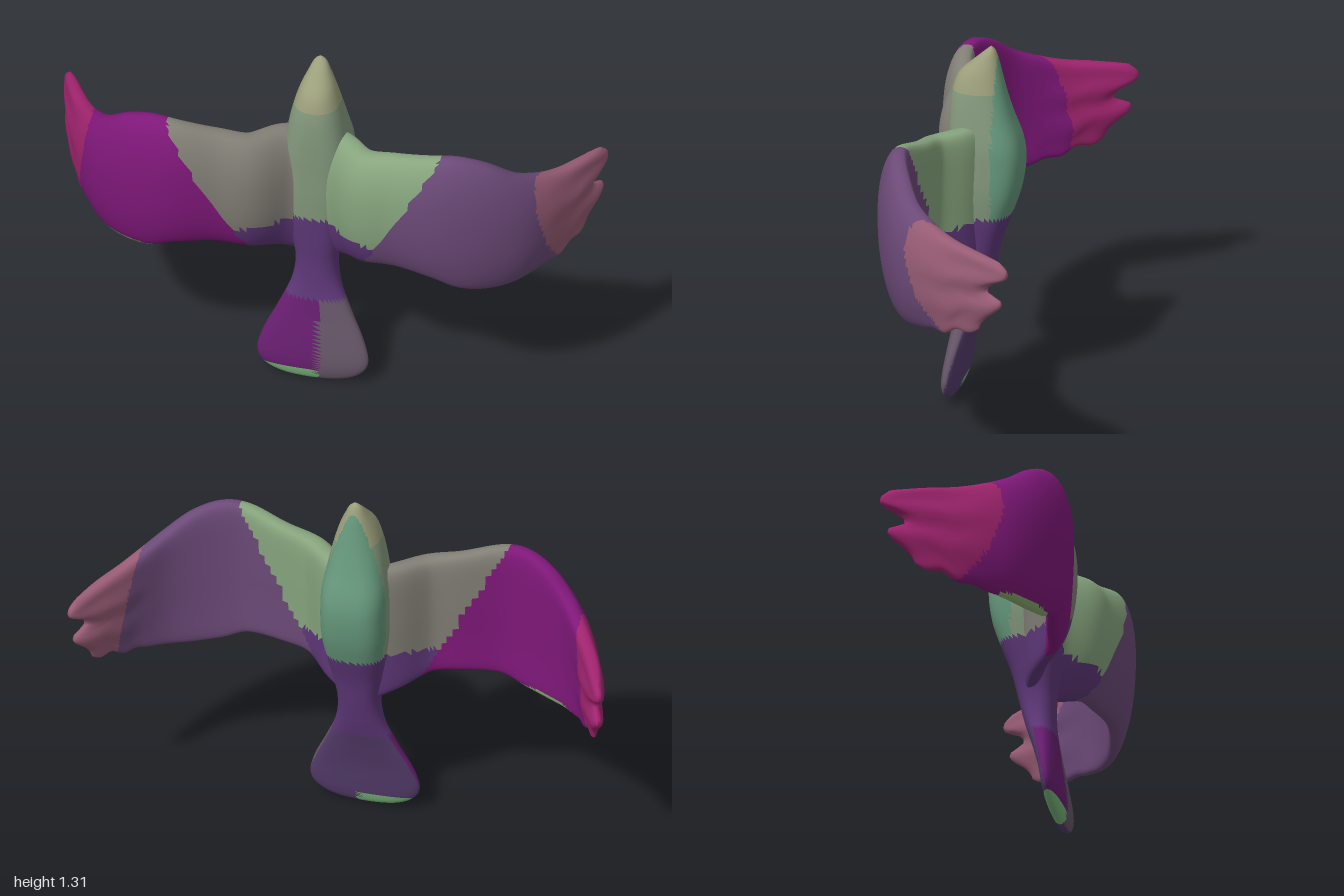
import * as THREE from 'three';

// Smooth interpolation of every column of a small table, t in 0..1
function sample(rows, t) {
  const f = Math.min(Math.max(t, 0), 1) * (rows.length - 1);
  const i = Math.min(Math.floor(f), rows.length - 2), k = f - i;
  const a = rows[Math.max(i - 1, 0)], b = rows[i], c = rows[i + 1], d = rows[Math.min(i + 2, rows.length - 1)];
  return b.map((p, n) => {
    const m0 = (c[n] - a[n]) / 2, m1 = (d[n] - p) / 2;
    const k2 = k * k, k3 = k2 * k;
    return (2 * k3 - 3 * k2 + 1) * p + (k3 - 2 * k2 + k) * m0 + (3 * k2 - 2 * k3) * c[n] + (k3 - k2) * m1;
  });
}

const signedPow = (v, e) => Math.sign(v) * Math.abs(v) ** e;

// Skin closed loops of points, then split the faces into named coloured patches
// that share one set of smooth normals
function skin(loops, flip, patches, pick) {
  const n = loops[0].length, pos = loops.flat(), index = [];
  for (let i = 0; i < loops.length - 1; i++) {
    for (let j = 0; j < n; j++) {
      const a = i * n + j, b = a + n, c = i * n + (j + 1) % n, d = c + n;
      index.push(...(flip ? [a, c, b, b, c, d] : [a, b, c, b, d, c]));
    }
  }
  const whole = new THREE.BufferGeometry().setFromPoints(pos);
  whole.setIndex(index);
  whole.computeVertexNormals();
  const faces = patches.map(() => []);
  for (let i = 0; i < index.length; i += 3) {
    const tri = index.slice(i, i + 3);
    const mid = new THREE.Vector3();
    tri.forEach(q => mid.addScaledVector(pos[q], 1 / 3));
    faces[pick(mid)].push(...tri);
  }
  const group = new THREE.Group();
  patches.forEach(([name, color], i) => {
    if (!faces[i].length) return;
    const geo = new THREE.BufferGeometry();
    geo.setAttribute('position', whole.attributes.position);
    geo.setAttribute('normal', whole.attributes.normal);
    geo.setIndex(faces[i]);
    const mesh = new THREE.Mesh(geo, new THREE.MeshStandardMaterial({ color }));
    mesh.name = name;
    group.add(mesh);
  });
  return group;
}

// Body, head and fanned tail: y, half width, front z, back z, roundness (1 = ellipse)
const BODY = [
  [1.308, 0, 0.004, 0.004, 1],
  [1.29, 0.022, 0.025, -0.012, 1],
  [1.25, 0.042, 0.07, -0.025, 0.95],
  [1.2, 0.064, 0.12, -0.036, 0.9],
  [1.13, 0.085, 0.143, -0.052, 0.85],
  [1.05, 0.102, 0.15, -0.075, 0.78],
  [0.96, 0.116, 0.15, -0.106, 0.7],
  [0.88, 0.118, 0.148, -0.115, 0.68],
  [0.78, 0.117, 0.146, -0.102, 0.68],
  [0.68, 0.106, 0.14, -0.07, 0.7],
  [0.58, 0.09, 0.13, -0.035, 0.75],
  [0.48, 0.075, 0.12, -0.012, 0.8],
  [0.38, 0.088, 0.119, 0.013, 0.85],
  [0.28, 0.13, 0.13, 0.045, 0.85],
  [0.18, 0.178, 0.145, 0.074, 0.85],
  [0.1, 0.2, 0.155, 0.09, 0.85],
  [0.05, 0.18, 0.154, 0.1, 0.85],
  [0.015, 0.115, 0.145, 0.112, 0.85],
  [0, 0, 0.13, 0.13, 0.85],
];

function makeBody() {
  const loops = [], sides = 40, steps = 100;
  for (let i = 0; i <= steps; i++) {
    const [y, w, zf, zb, e] = sample(BODY, i / steps);
    const loop = [];
    for (let j = 0; j < sides; j++) {
      const a = j / sides * Math.PI * 2;
      loop.push(new THREE.Vector3(
        0.01 + Math.max(w, 0) * signedPow(Math.cos(a), e), y,
        (zf + zb) / 2 + (zf - zb) / 2 * signedPow(Math.sin(a), e)));
    }
    loops.push(loop);
  }
  const patches = [
    ['head', 0x9c9f7b], ['breast', 0x83987c], ['back', 0x66987c], ['rump', 0x5f387a],
    ['tailLeft', 0x665668], ['tailRight', 0x681e70], ['tailBack', 0x553c6c], ['tailEdge', 0x78b478],
  ];
  const group = skin(loops, true, patches, p => {
    if (p.y > 0.69) return p.z < -0.02 ? 2 : p.y > 1.15 ? 0 : 1;
    if (p.y > 0.33) return 3;
    if (p.y < 0.05 && p.x < 0.03) return 7;
    if (p.z < 0.06 + (0.33 - p.y) * 0.25) return 6;
    return p.x > 0.03 ? 4 : 5;
  });
  group.name = 'body';
  return group;
}

// Wing from root to tip: x, z, leading edge y, trailing edge y, half thickness
const WING = [
  [0.0, 0.05, 1.01, 0.47, 0.06],
  [0.1, 0.094, 1.03, 0.52, 0.06],
  [0.2, 0.18, 1.033, 0.56, 0.06],
  [0.32, 0.205, 1.055, 0.577, 0.053],
  [0.46, 0.236, 1.09, 0.57, 0.051],
  [0.56, 0.226, 1.095, 0.537, 0.051],
  [0.66, 0.188, 1.06, 0.525, 0.05],
  [0.75, 0.128, 0.995, 0.532, 0.047],
  [0.815, 0.045, 0.95, 0.55, 0.042],
  [0.861, -0.045, 0.92, 0.568, 0.038],
  [0.908, -0.15, 0.902, 0.605, 0.034],
  [0.969, -0.287, 0.88, 0.67, 0.03],
];

// Reach of the feather tips along the span, from leading to trailing edge
const TIPS = [[0.975], [1], [0.995], [0.955], [0.945], [0.975], [0.975], [0.94], [0.925]];

function makeWing(side, name, patches) {
  const loops = [], steps = 90, sides = 48;
  for (let i = 0; i <= steps; i++) {
    const u = 1 - (1 - i / steps) ** 1.4;
    const close = Math.sqrt(Math.max(0, 1 - u ** 30));
    const loop = [];
    for (let j = 0; j < sides; j++) {
      const a = j / sides * Math.PI * 2;
      const v = (1 - Math.cos(a)) / 2;
      const s = u * THREE.MathUtils.lerp(1, sample(TIPS, v)[0], u * u);
      const [x, z, lead, trail, thick] = sample(WING, s);
      const [x2, z2] = sample(WING, s + 0.01), [x1, z1] = sample(WING, s - 0.01);
      const len = Math.hypot(x2 - x1, z2 - z1);
      // Scalloped feathers and shallow ridges toward the tip
      const tip = THREE.MathUtils.smoothstep(u, 0.68, 0.95);
      const edge = trail + 0.01 * tip * Math.sin(u * 50);
      const ridge = 1 + 0.14 * tip * Math.cos(v * 18);
      // Leading and trailing edges bend slightly to the back
      const camber = 0.026 * (1 - tip) * Math.abs(2 * v - 1) ** 2.5;
      const h = signedPow(Math.sin(a), 0.7) * thick * (1.22 - 0.45 * v) * ridge * close - camber;
      loop.push(new THREE.Vector3(
        side * (x - (z2 - z1) / len * h),
        THREE.MathUtils.lerp(lead, edge, v),
        z + (x2 - x1) / len * h));
    }
    loops.push(loop);
  }
  const group = skin(loops, side > 0, patches, p => {
    const x = Math.abs(p.x);
    if (x < 0.22 + (p.y - 0.6) * 0.55) return p.y < 0.69 - x * 0.1 ? 1 : 0;
    if (side < 0 && p.y < 0.545 && x > 0.5 && x < 0.76) return 4;
    return x > 0.83 - (p.y - 0.75) * 0.15 ? 3 : 2;
  });
  group.name = name;
  return group;
}

export function createModel() {
  const model = new THREE.Group();
  model.name = 'bird';
  model.add(makeBody());
  model.add(makeWing(1, 'leftWing', [
    ['innerWing', 0x87a57e], ['wingRoot', 0x5f387a], ['midWing', 0x6c4a78], ['featherTips', 0x985c74],
  ]));
  model.add(makeWing(-1, 'rightWing', [
    ['innerWing', 0x827f76], ['wingRoot', 0x5f387a], ['midWing', 0x80187a], ['featherTips', 0xa0246e],
    ['trailingEdge', 0x8cb070],
  ]));
  return model;
}
